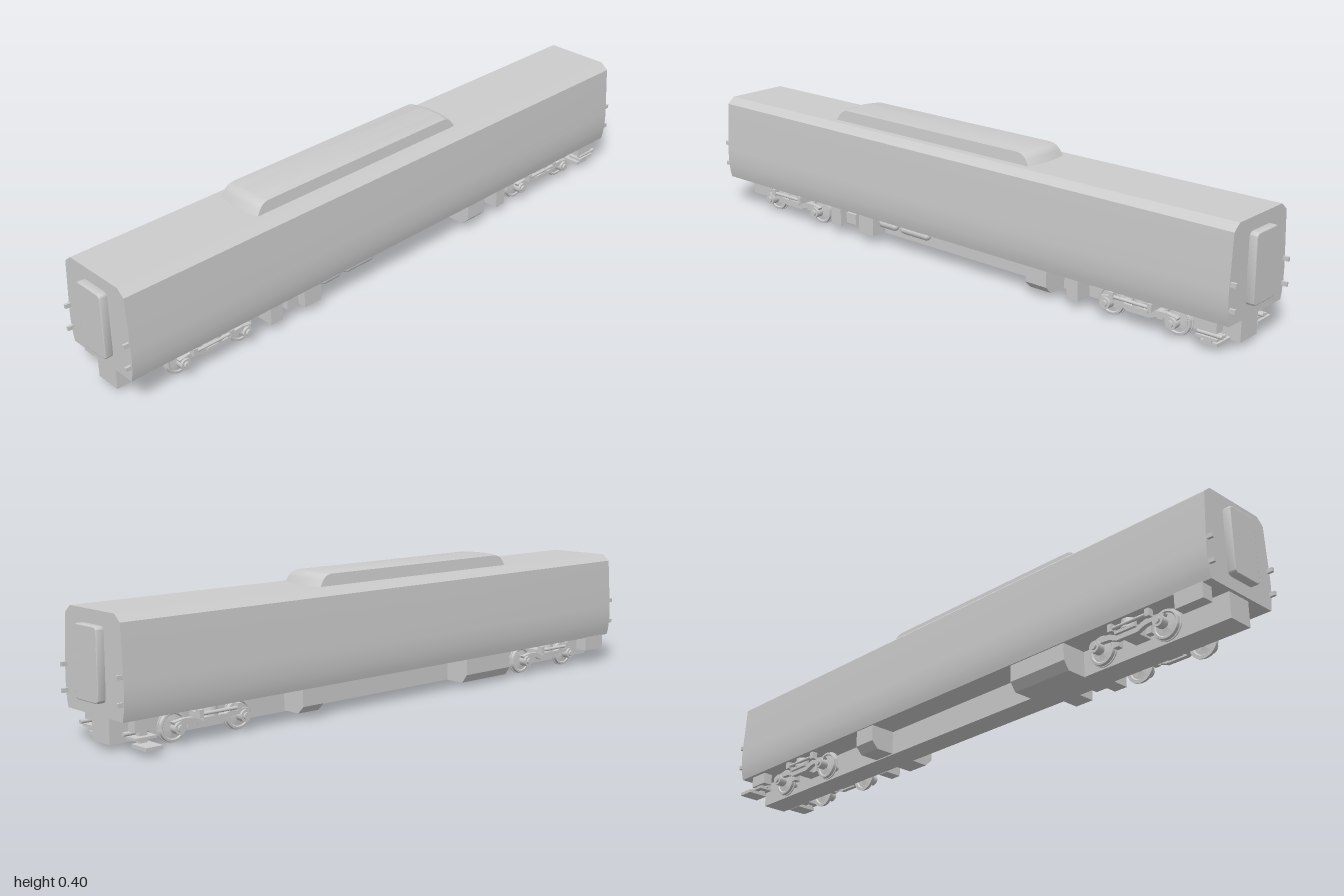
import * as THREE from 'three';
import { toCreasedNormals } from 'three/addons/utils/BufferGeometryUtils.js';

const grey = new THREE.MeshStandardMaterial({ color: 0xcccccc });

export function createModel() {
  const model = new THREE.Group();

  const add = (name, geo, parent = model) => {
    const m = new THREE.Mesh(geo, grey);
    m.name = name;
    parent.add(m);
    return m;
  };
  // Box given by its limits
  const box = (name, x0, x1, y0, y1, z0, z1, parent) => {
    const m = add(name, new THREE.BoxGeometry(x1 - x0, y1 - y0, z1 - z0), parent);
    m.position.set((x0 + x1) / 2, (y0 + y1) / 2, (z0 + z1) / 2);
    return m;
  };
  // Cross-section in x, y drawn out along z
  const prism = (name, pts, z0, z1, parent) => {
    const shape = new THREE.Shape(pts.map(p => new THREE.Vector2(...p)));
    const geo = new THREE.ExtrudeGeometry(shape, { depth: z1 - z0, bevelEnabled: false });
    geo.translate(0, 0, z0);
    return add(name, toCreasedNormals(geo, 0.3), parent);
  };
  // Mirror a right-hand half section, listed from bottom to top
  const mirrored = half => [...half, ...half.map(([x, y]) => [-x, y]).reverse()];
  // Cylinder along x or z
  const rod = (name, r, len, axis, x, y, z, parent, sides = 20) => {
    const geo = new THREE.CylinderGeometry(r, r, len, sides);
    if (axis === 'x') geo.rotateZ(Math.PI / 2); else geo.rotateX(Math.PI / 2);
    const m = add(name, geo, parent);
    m.position.set(x, y, z);
    return m;
  };

  // Car body
  prism('carBody', mirrored([[0.126, 0.09], [0.131, 0.11], [0.1345, 0.135], [0.136, 0.165],
    [0.1355, 0.19], [0.126, 0.342], [0.102, 0.362]]), -0.977, 0.977);

  // Roof pod: side profile across the width, then arched, tapered and bowed
  const pod = new THREE.Shape();
  pod.moveTo(-0.4, 0);
  pod.lineTo(0.4, 0);
  pod.lineTo(0.388, 0.02);
  pod.quadraticCurveTo(0.378, 0.036, 0.355, 0.038);
  pod.lineTo(-0.355, 0.038);
  pod.quadraticCurveTo(-0.378, 0.036, -0.388, 0.02);
  pod.closePath();
  const podGeo = new THREE.ExtrudeGeometry(pod, { depth: 0.156, steps: 12, bevelEnabled: false, curveSegments: 6 });
  podGeo.translate(0, 0, -0.078);
  podGeo.rotateY(-Math.PI / 2);
  const pp = podGeo.attributes.position;
  for (let i = 0; i < pp.count; i++) {
    const x = pp.getX(i), y = pp.getY(i), z = pp.getZ(i), u = (x / 0.078) ** 2;
    pp.setXYZ(i, x * (1 - 1.4 * y), y * (1 - 0.09 * u), z - Math.sign(z) * 0.01 * u);
  }
  podGeo.computeVertexNormals();
  add('roofPod', toCreasedNormals(podGeo, 0.6)).position.set(0, 0.361, 0.11);

  // End doors with rounded corners, and small brackets on the body corners
  const door = new THREE.Shape();
  const w = 0.05, h = 0.096, r = 0.013;
  door.moveTo(-w + r, -h);
  door.lineTo(w - r, -h);
  door.quadraticCurveTo(w, -h, w, -h + r);
  door.lineTo(w, h - r);
  door.quadraticCurveTo(w, h, w - r, h);
  door.lineTo(-w + r, h);
  door.quadraticCurveTo(-w, h, -w, h - r);
  door.lineTo(-w, -h + r);
  door.quadraticCurveTo(-w, -h, -w + r, -h);
  for (const s of [1, -1]) {
    const end = new THREE.Group();
    end.name = s > 0 ? 'frontEnd' : 'backEnd';
    end.rotation.y = s > 0 ? 0 : Math.PI;
    model.add(end);
    const geo = new THREE.ExtrudeGeometry(door, { depth: 0.018, bevelThickness: 0.004, bevelSize: 0.003, bevelSegments: 2 });
    add('gangwayDoor', toCreasedNormals(geo, 0.5), end).position.set(0, 0.226, 0.978);
    for (const side of [1, -1]) for (const y of [0.13, 0.2])
      box('cornerBracket', side * 0.128 - 0.004, side * 0.128 + 0.004, y, y + 0.012, 0.97, 0.994, end);
  }

  // Centre sill under the whole floor
  box('centreSill', -0.04, 0.04, 0.015, 0.092, -0.962, 0.967);

  // Underfloor equipment
  prism('crossEquipmentBox', mirrored([[0.1, 0.018], [0.122, 0.04], [0.122, 0.092]]), -0.385, -0.31);
  prism('rightEquipmentBox', [[-0.122, 0.092], [-0.122, 0.04], [-0.104, 0.014], [-0.03, 0.014], [-0.03, 0.092]], 0.28, 0.48);
  box('rightCornerBox', -0.127, -0.09, 0.047, 0.092, 0.86, 0.95);
  box('leftEquipmentBox', 0.06, 0.115, 0.028, 0.092, 0.455, 0.498);
  box('leftEquipmentBox', 0.07, 0.11, 0.045, 0.078, 0.392, 0.433);
  box('equipmentHanger', 0.08, 0.1, 0.07, 0.092, 0.4, 0.425);
  box('leftEquipmentBox', 0.06, 0.115, 0.028, 0.092, 0.31, 0.372);
  box('leftEquipmentBox', 0.06, 0.115, 0.025, 0.092, -0.49, -0.452);

  // Air tanks
  for (const [z, len] of [[0.258, 0.078], [0.145, 0.12]]) {
    const geo = new THREE.CapsuleGeometry(0.014, len - 0.028, 6, 16);
    geo.rotateX(Math.PI / 2);
    add('airTank', geo).position.set(0.095, 0.073, z);
    for (const s of [-1, 1]) box('tankStrap', 0.09, 0.1, 0.08, 0.092, z + s * len * 0.25 - 0.004, z + s * len * 0.25 + 0.004);
  }

  // Steps and fittings at the back corners
  for (const s of [1, -1]) {
    const step = new THREE.Group();
    step.name = 'backCornerSteps';
    step.position.set(s * 0.1, 0, -0.905);
    model.add(step);
    box('stepBracket', -0.015, 0.015, 0.055, 0.092, -0.03, 0.035, step);
    box('stepPost', -0.008, 0.008, 0.02, 0.06, -0.012, 0.012, step);
    box('stepTread', -0.025, 0.02, 0.036, 0.043, -0.035, 0.03, step);
    box('lowerTread', -0.06, 0.005, 0.014, 0.024, -0.028, 0.024, step);
    rod('stepPipe', 0.006, 0.075, 'z', 0.012, 0.05, -0.01, step, 12);
  }

  // Wheel outline turned about the axle
  const wheelProfile = [[0.012, -0.007], [0.032, -0.003], [0.035, -0.006], [0.041, -0.006], [0.042, 0.003],
    [0.045, 0.004], [0.045, 0.007], [0.035, 0.007], [0.032, 0.003], [0.012, 0.007]].map(p => new THREE.Vector2(...p));
  const wheelGeo = new THREE.LatheGeometry([...wheelProfile, wheelProfile[0]], 32);
  wheelGeo.rotateZ(Math.PI / 2);
  const wheelShape = toCreasedNormals(wheelGeo, 0.5);

  // Side frame outline in z, y, with a dropped centre
  const half = [[0.035, 0.04], [0.06, 0.05], [0.085, 0.052], [0.12, 0.052], [0.125, 0.062], [0.09, 0.068], [0.06, 0.066], [0.035, 0.056]];
  const frameGeo = new THREE.ExtrudeGeometry(
    new THREE.Shape(mirrored(half).map(p => new THREE.Vector2(...p))), { depth: 0.014, bevelEnabled: false });
  frameGeo.translate(0, 0, -0.007);
  frameGeo.rotateY(Math.PI / 2);

  // Two bogies with two wheelsets each
  for (const end of [1, -1]) {
    const bogie = new THREE.Group();
    bogie.name = end > 0 ? 'frontBogie' : 'backBogie';
    bogie.position.z = end * 0.688;
    model.add(bogie);
    box('bolster', -0.1, 0.1, 0.045, 0.068, -0.025, 0.025, bogie);
    for (const z of [-0.107, 0.107]) {
      rod('axle', 0.01, 0.2, 'x', 0, 0.045, z, bogie);
      for (const s of [1, -1]) {
        const wheel = add('wheel', wheelShape, bogie);
        wheel.position.set(s * 0.079, 0.045, z);
        wheel.rotation.y = s > 0 ? 0 : Math.PI;
        rod('axleBox', 0.017, 0.024, 'x', s * 0.104, 0.045, z, bogie);
        rod('axleCap', 0.01, 0.006, 'x', s * 0.119, 0.045, z, bogie);
      }
    }
    for (const s of [1, -1]) {
      add('sideFrame', frameGeo, bogie).position.x = s * 0.102;
      const spring = add('airSpring', new THREE.CylinderGeometry(0.02, 0.023, 0.03, 20), bogie);
      spring.position.set(s * 0.097, 0.077, 0);
      box('springSeat', s * 0.104 - 0.014, s * 0.104 + 0.014, 0.054, 0.063, -0.035, 0.035, bogie);
      rod('tractionRod', 0.005, 0.12, 'z', s * 0.117, 0.073, 0.02, bogie, 12);
      for (const z of [-0.045, 0.08]) box('rodBracket', s * 0.115 - 0.009, s * 0.115 + 0.009, 0.064, 0.086, z - 0.007, z + 0.007, bogie);
      for (const z of [-0.055, 0.055]) box('brakeUnit', s * 0.079 - 0.009, s * 0.079 + 0.009, 0.035, 0.06, z - 0.009, z + 0.009, bogie);
    }
  }

  return model;
}
